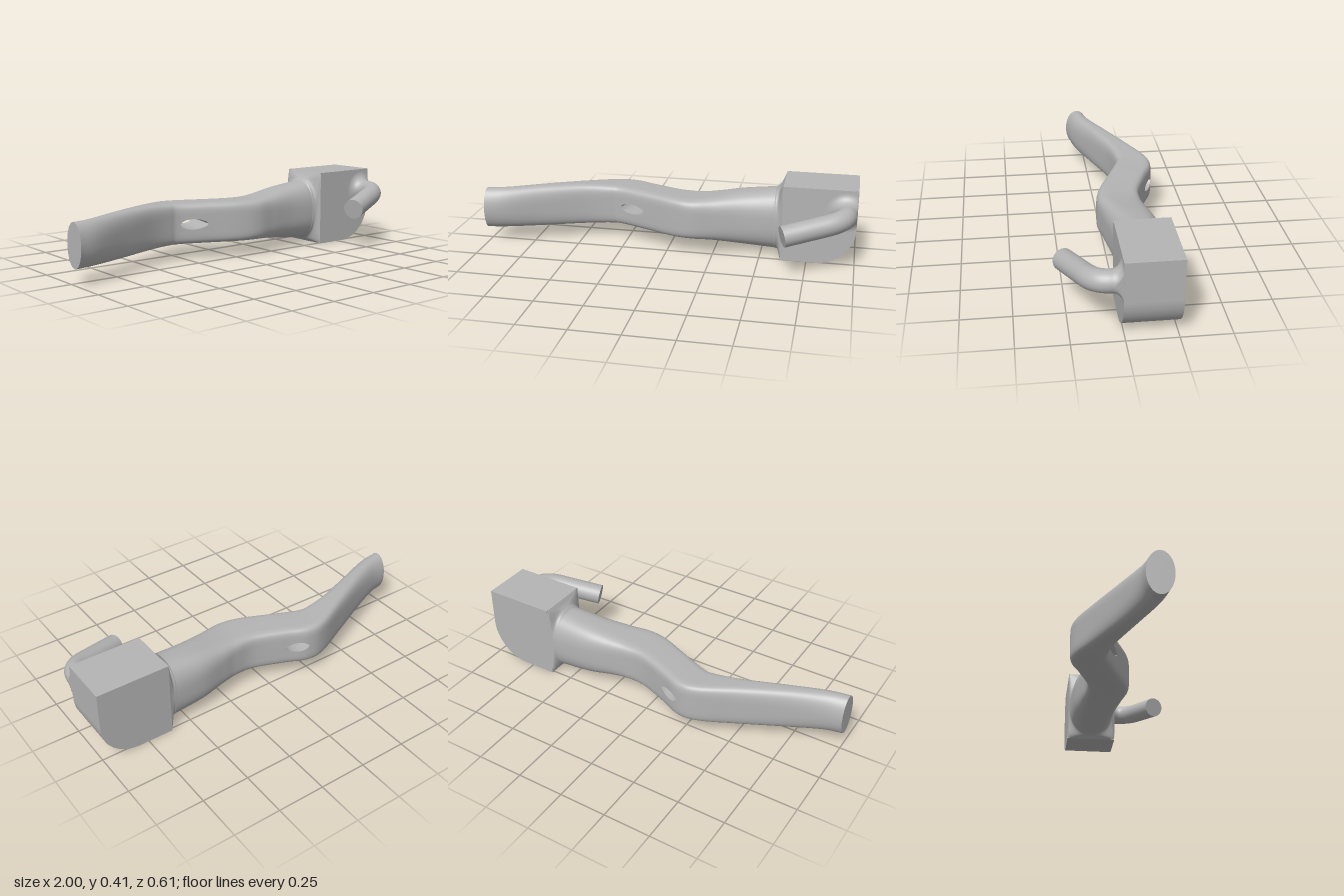
import * as THREE from 'three';
import { mergeVertices, toCreasedNormals } from 'three/addons/utils/BufferGeometryUtils.js';

const grey = new THREE.MeshStandardMaterial({ color: 0xb4b4b4, side: THREE.DoubleSide });
grey.name = 'grey';

// Builds an indexed surface from a grid of points
function gridGeometry(grids) {
  const pos = [], idx = [];
  for (const grid of grids) {
    const base = pos.length / 3, w = grid[0].length;
    grid.forEach(row => row.forEach(p => pos.push(...p)));
    for (let i = 0; i < grid.length - 1; i++) {
      for (let j = 0; j < w - 1; j++) {
        const a = base + i * w + j, b = a + w;
        idx.push(a, b, b + 1, a, b + 1, a + 1);
      }
    }
  }
  let g = new THREE.BufferGeometry();
  g.setAttribute('position', new THREE.Float32BufferAttribute(pos, 3));
  g.setIndex(idx);
  g = mergeVertices(g, 1e-5);
  g.computeVertexNormals();
  return g;
}

// Lofts rounded sections; a row is front x, z, back x, z, bottom, top, squareness.
// A lens-shaped slot runs front to back between rows slot and slot + 1.
function loft(rows, steps, slot = -1) {
  const curve = new THREE.CubicInterpolant(rows.map((_, i) => i), rows.flat(), 7, new Float32Array(7));
  const halves = [[], []], walls = [[], []], M = 32;
  for (let i = 0; i <= (rows.length - 1) * steps; i++) {
    const s = i / steps;
    const [fx, fz, bx, bz, y0, y1, n] = [...curve.evaluate(s)];
    const u = 2 * (s - slot) - 1;
    const inSlot = slot >= 0 && Math.abs(u) <= 1;
    const open = inSlot ? 0.028 * Math.pow(1 - u * u, 0.7) : 0;
    const mid = (y0 + y1) / 2;
    halves.forEach((half, k) => {
      const ring = [];
      for (let j = 0; j <= M; j++) {
        const a = Math.PI * (k + j / M), c = Math.cos(a), sn = Math.sin(a);
        const e = Math.sign(c) * Math.pow(Math.abs(c), 2 / n);
        let y = j % M === 0 ? 0 : Math.pow(Math.abs(sn), 2 / n) * (y1 - y0) / 2;
        y = mid + (k ? -1 : 1) * Math.max(y, open);
        ring.push([(fx + bx) / 2 + e * (fx - bx) / 2, y, (fz + bz) / 2 + e * (fz - bz) / 2]);
      }
      half.push(ring);
      if (inSlot) walls[k].push(k ? [ring[M], ring[0]] : [ring[M], ring[0]].reverse());
    });
  }
  // Wall of the lower half faces up, wall of the upper half faces down
  walls[0].forEach(r => r.reverse());
  walls[1].forEach(r => r.reverse());
  return { skin: gridGeometry(halves), walls };
}

export function createModel() {
  const model = new THREE.Group();
  const add = (name, geometry) => {
    const mesh = new THREE.Mesh(geometry, grey);
    mesh.name = name;
    model.add(mesh);
    return mesh;
  };

  // Wavy arm with a slot through its bend
  const neck = [0.57, -0.01, 0.57, -0.257, 0.027, 0.355, 2.6];
  const arm = loft([
    [-1, 0.105, -1, -0.027, 0.08, 0.305, 2],
    [-0.88, 0.075, -0.9, -0.048, 0.08, 0.306, 2.3],
    [-0.68, -0.01, -0.73, -0.115, 0.077, 0.31, 3],
    [-0.48, -0.088, -0.52, -0.212, 0.077, 0.309, 4],
    [-0.35, -0.117, -0.33, -0.298, 0.08, 0.303, 5.5],
    [-0.285, -0.115, -0.22, -0.307, 0.08, 0.3, 6],
    [-0.14, -0.057, -0.1, -0.257, 0.08, 0.3, 6],
    [0.02, 0.012, 0.06, -0.199, 0.08, 0.3, 6],
    [0.13, 0.037, 0.17, -0.197, 0.078, 0.302, 5],
    [0.25, 0.022, 0.26, -0.215, 0.068, 0.313, 3.8],
    [0.4, 0, 0.4, -0.245, 0.045, 0.335, 3],
    neck,
  ], 12, 5);
  add('arm', arm.skin);
  arm.walls.forEach((w, k) => add(k ? 'slotFloor' : 'slotRoof', gridGeometry([w])));

  // Flat oval end of the arm
  const tip = new THREE.CircleGeometry(1, 64).scale(0.066, 0.1125, 1).rotateY(-Math.PI / 2);
  add('armTip', tip).position.set(-1, 0.1925, 0.039);

  // Collar flaring from the arm to the block
  add('collar', loft([
    neck,
    [0.598, -0.004, 0.598, -0.26, 0.016, 0.382, 4],
    [0.615, 0.01, 0.615, -0.265, 0, 0.41, 20],
  ], 6).skin);

  // Block with one rounded lower corner
  const outline = new THREE.Shape();
  outline.moveTo(0.615, 0);
  outline.lineTo(0.795, 0);
  outline.absarc(0.795, 0.205, 0.205, -Math.PI / 2, 0, false);
  outline.lineTo(1, 0.41);
  outline.lineTo(0.615, 0.41);
  const block = new THREE.ExtrudeGeometry(outline, { depth: 0.275, bevelEnabled: false, curveSegments: 32 });
  add('block', toCreasedNormals(block.translate(0, 0, -0.265), 0.5));

  // Bent peg on the front of the block
  const r = 0.055;
  const bend = new THREE.CurvePath();
  const v = (x, y, z) => new THREE.Vector3(x, y, z);
  const start = v(0.943, 0.29, 0), a = v(0.943, 0.29, 0.055), b = v(0.85, 0.27, 0.165), end = v(0.637, 0.228, 0.25);
  bend.add(new THREE.LineCurve3(start, a));
  bend.add(new THREE.CubicBezierCurve3(a, v(0.943, 0.29, 0.11), v(0.905, 0.281, 0.143), b));
  bend.add(new THREE.LineCurve3(b, end));
  add('peg', new THREE.TubeGeometry(bend, 64, r, 32));
  const cap = add('pegTip', new THREE.CircleGeometry(r, 32));
  cap.position.copy(end);
  cap.lookAt(end.clone().multiplyScalar(2).sub(b));

  // Fillet at the foot of the peg, kept flush with the block's side
  const profile = [];
  for (let i = 0; i <= 10; i++) {
    const t = i / 10 * Math.PI / 2;
    profile.push(new THREE.Vector2(r + 0.05 * (1 - Math.sin(t)), 0.01 + 0.05 * (1 - Math.cos(t))));
  }
  const fillet = new THREE.LatheGeometry(profile, 40).rotateX(Math.PI / 2).translate(start.x, start.y, 0);
  const p = fillet.attributes.position;
  for (let i = 0; i < p.count; i++) p.setX(i, Math.min(p.getX(i), 0.999));
  fillet.computeVertexNormals();
  add('pegFillet', fillet);

  return model;
}
